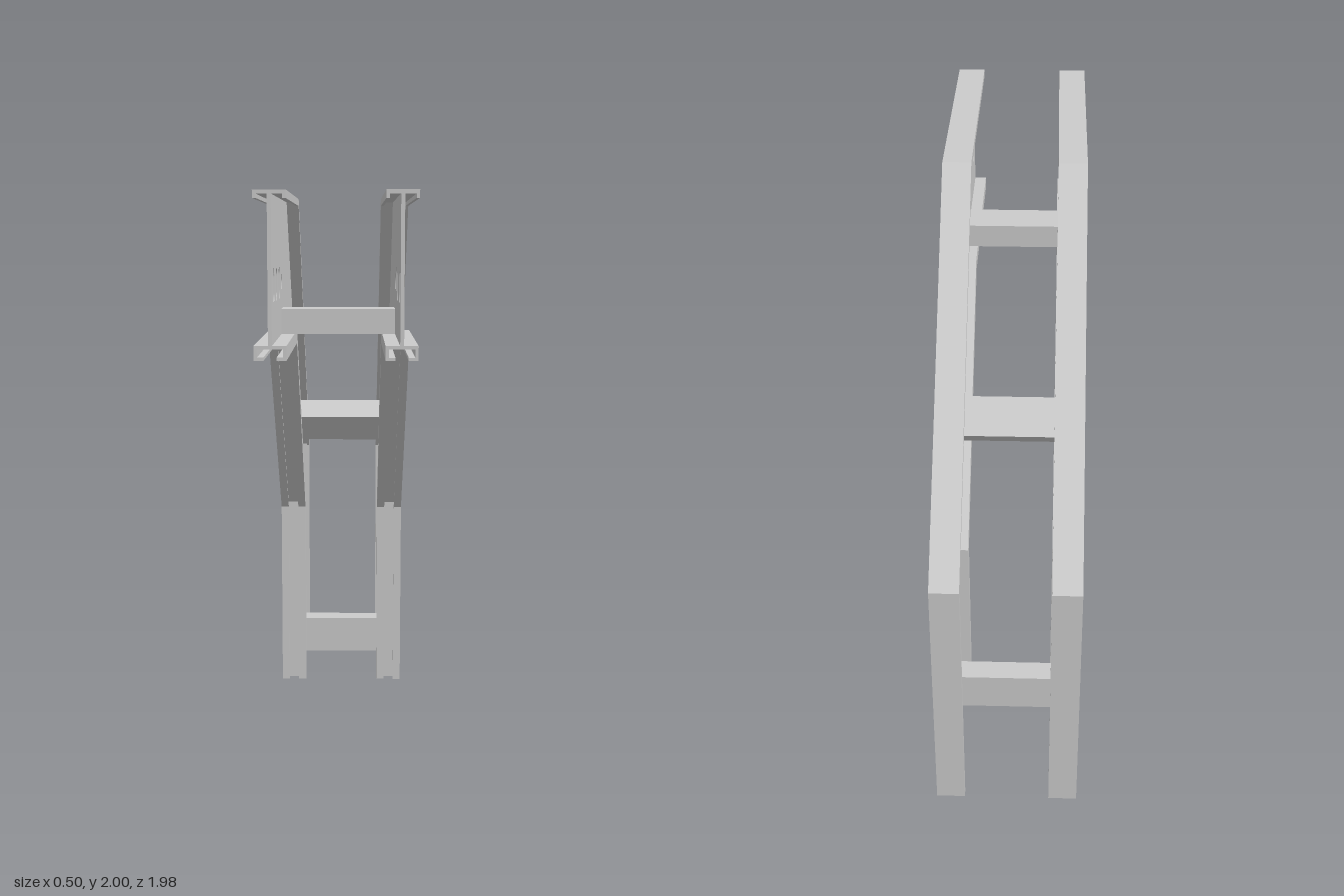
import * as THREE from 'three';

const material = new THREE.MeshStandardMaterial({ color: 0xcccccc, flatShading: true });

// Edge lines of the bend as [z, y] points; d moves them towards the inside of the bend
const outerEdge = (d) => [
  [0.99, 2 - d], [0.044 + 0.414 * d, 2 - d],
  [-0.99 + d, 0.952 - 0.414 * d], [-0.99 + d, 0],
];
const innerEdge = (d) => [
  [0.99, 1.49 + d], [0.245 - 0.414 * d, 1.49 + d],
  [-0.495 - d, 0.75 + 0.414 * d], [-0.495 - d, 0],
];

// Strip between two edge lines, extruded across x around the given centre
function strip(name, lineA, lineB, width, x = 0, holes = []) {
  const points = [...lineA, ...lineB.slice().reverse()].map(([z, y]) => new THREE.Vector2(z, y));
  const shape = new THREE.Shape(points);
  shape.holes.push(...holes);
  const geometry = new THREE.ExtrudeGeometry(shape, { depth: width, bevelEnabled: false, curveSegments: 10 });
  geometry.translate(0, 0, -width / 2);
  geometry.rotateY(-Math.PI / 2);
  const mesh = new THREE.Mesh(geometry, material);
  mesh.name = name;
  mesh.position.x = x;
  return mesh;
}

// Round hole, or slot when stretched by s along z or y
function slot(z, y, sz = 0, sy = 0) {
  const r = 0.027;
  const path = new THREE.Path();
  if (sy > 0) {
    path.absarc(z, y + sy, r, 0, Math.PI);
    path.absarc(z, y - sy, r, Math.PI, 2 * Math.PI);
  } else {
    path.absarc(z + sz, y, r, -Math.PI / 2, Math.PI / 2);
    path.absarc(z - sz, y, r, Math.PI / 2, 1.5 * Math.PI);
  }
  path.closePath();
  return path;
}

function sideRail(name, x) {
  const rail = new THREE.Group();
  rail.name = name;
  rail.position.x = x;

  // Web with joint holes at both ends
  const holes = [slot(0.42, 1.713), slot(-0.745, 0.546)];
  for (let i = 0; i < 3; i++) {
    holes.push(slot(0.867 - i * 0.148, 1.713, 0, 0.026));
    holes.push(slot(-0.745, 0.098 + i * 0.149, 0.026, 0));
  }
  rail.add(strip('web', outerEdge(0.005), innerEdge(0.038), 0.012, 0, holes));

  // Outer flange and base of the inner channel
  rail.add(strip('outerFlange', outerEdge(0), outerEdge(0.012), 0.1));
  rail.add(strip('channelBase', innerEdge(0.045), innerEdge(0.035), 0.1));

  // Turned edges on both sides
  for (const s of [-1, 1]) {
    rail.add(strip('outerFlangeLip', outerEdge(0.012), outerEdge(0.025), 0.01, s * 0.045));
    rail.add(strip('channelWall', innerEdge(0.035), innerEdge(0), 0.01, s * 0.045));
    rail.add(strip('channelLip', innerEdge(0.01), innerEdge(0), 0.02, s * 0.03));
  }
  return rail;
}

function rung(name, y, z, tilt) {
  const mesh = new THREE.Mesh(new THREE.BoxGeometry(0.385, 0.085, 0.145), material);
  mesh.name = name;
  mesh.position.set(0, y, z);
  mesh.rotation.x = tilt;
  return mesh;
}

export function createModel() {
  const model = new THREE.Group();
  model.name = 'ladderBend';
  model.add(sideRail('leftRail', 0.2), sideRail('rightRail', -0.2));

  // Rungs follow the direction of each leg
  model.add(rung('upperRung', 1.58, 0.41, 0));
  model.add(rung('middleRung', 1.148, -0.26, -Math.PI / 4));
  model.add(rung('lowerRung', 0.177, -0.602, Math.PI / 2));
  return model;
}
